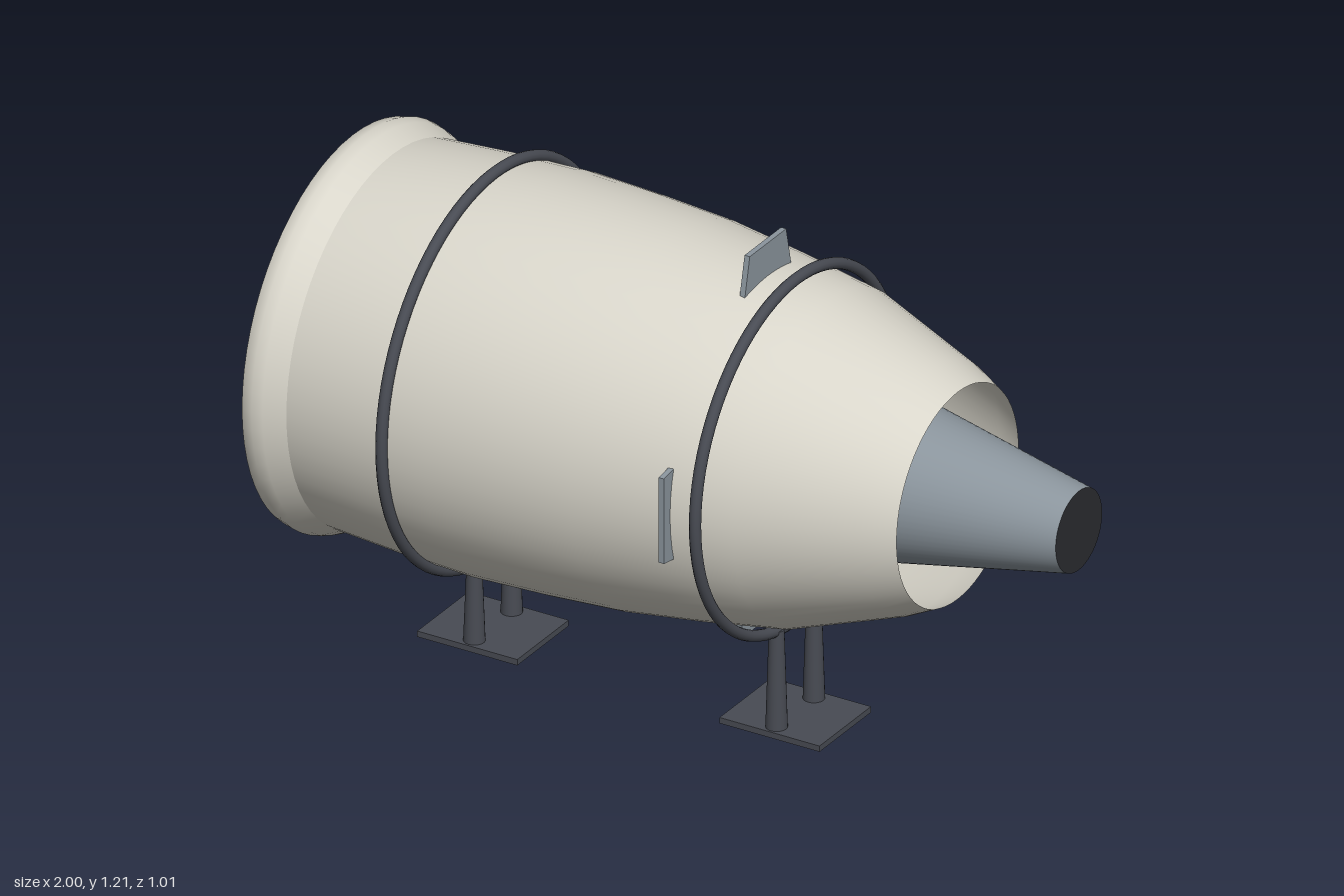
import * as THREE from 'three';

const AXIS_Y = 0.695; // height of the engine centreline
const mat = (color, side = THREE.FrontSide) => new THREE.MeshStandardMaterial({ color, side });

export function createModel() {
  const model = new THREE.Group();
  model.name = 'turbofanEngine';
  const engine = new THREE.Group();
  engine.name = 'engine';
  engine.position.y = AXIS_Y;
  model.add(engine);

  const shellMat = mat(0xd8d5ca, THREE.DoubleSide);
  const steel = mat(0x8b959d);
  const bladeMat = mat(0xa9afb8, THREE.DoubleSide);
  const frameMat = mat(0x484b53);
  const darkMat = mat(0x2b2c30);

  const add = (parent, name, geometry, material) => {
    const mesh = new THREE.Mesh(geometry, material);
    mesh.name = name;
    parent.add(mesh);
    return mesh;
  };
  // Turned shape around the x axis from [x, radius] pairs
  const turned = (pairs) => new THREE.LatheGeometry(
    pairs.map(([x, r]) => new THREE.Vector2(r, x)), 64).rotateZ(-Math.PI / 2);

  // Cowling, open at both ends
  add(engine, 'cowling', turned([[-0.92, 0.455], [-0.84, 0.465], [-0.66, 0.477], [-0.46, 0.484],
    [-0.27, 0.477], [-0.08, 0.465], [0.12, 0.438], [0.32, 0.405], [0.6, 0.305], [0.675, 0.268]]), shellMat);

  // Rounded intake lip
  add(engine, 'intakeLip', turned([[-0.88, 0.435], [-0.925, 0.44], [-0.947, 0.458], [-0.952, 0.475],
    [-0.945, 0.488], [-0.915, 0.495], [-0.89, 0.488], [-0.84, 0.465]]), shellMat);

  // Core, exhaust cone and its dark end
  add(engine, 'core', turned([[-0.82, 0], [-0.82, 0.225], [-0.82, 0.225], [-0.7, 0.235],
    [0.3, 0.238]]), steel);
  add(engine, 'exhaustCone', turned([[0.3, 0.238], [1, 0.102]]), steel);
  add(engine, 'exhaustEnd', new THREE.CircleGeometry(0.102, 64).rotateY(Math.PI / 2).translate(1, 0, 0), darkMat);

  // Spinner
  add(engine, 'spinner', new THREE.ConeGeometry(0.2, 0.18, 48).rotateZ(Math.PI / 2).translate(-0.91, 0, 0), darkMat);

  // Twisted fan blades
  const blade = new THREE.BoxGeometry(0.085, 0.235, 0.01, 2, 8, 1);
  const p = blade.attributes.position;
  for (let i = 0; i < p.count; i++) {
    const t = p.getY(i) / 0.235 + 0.5;
    const a = 0.35 + 0.5 * t;
    const x = p.getX(i), z = p.getZ(i);
    p.setXYZ(i, x * Math.cos(a) - z * Math.sin(a), 0.205 + t * 0.235, x * Math.sin(a) + z * Math.cos(a));
  }
  blade.computeVertexNormals();
  const fan = new THREE.Group();
  fan.name = 'fan';
  fan.position.x = -0.76;
  engine.add(fan);
  const BLADES = 22;
  for (let i = 0; i < BLADES; i++) {
    add(fan, 'fanBlade', blade, bladeMat).rotation.x = (i / BLADES) * Math.PI * 2;
  }

  // Tapered struts that pass through the cowling; the top one is longest
  for (let i = 0; i < 4; i++) {
    const [outer, half] = i === 0 ? [0.515, 0.08] : [0.457, 0.11];
    const shape = new THREE.Shape([
      new THREE.Vector2(-0.15, 0.2), new THREE.Vector2(0.15, 0.2),
      new THREE.Vector2(half, outer), new THREE.Vector2(-half, outer)]);
    const strut = new THREE.ExtrudeGeometry(shape, { depth: 0.014, bevelEnabled: false })
      .rotateY(Math.PI / 2).translate(0.153, 0, 0);
    add(engine, i === 0 ? 'topStrut' : 'strut', strut, steel).rotation.x = i * Math.PI / 2;
  }

  // Mounting hoops, each on a two-legged stand
  for (const [name, x, radius] of [['front', -0.57, 0.49], ['rear', 0.24, 0.44]]) {
    const hoop = new THREE.TorusGeometry(radius, 0.014, 12, 80).rotateY(Math.PI / 2);
    add(engine, name + 'Hoop', hoop, frameMat).position.x = x;

    const stand = new THREE.Group();
    stand.name = name + 'Stand';
    stand.position.x = x;
    model.add(stand);
    add(stand, 'footPlate', new THREE.BoxGeometry(0.268, 0.015, 0.226), frameMat).position.y = 0.0075;
    const top = AXIS_Y - Math.sqrt(radius * radius - 0.08 * 0.08) + 0.005;
    for (const side of [-1, 1]) {
      const leg = new THREE.CylinderGeometry(0.018, 0.026, top - 0.01, 20);
      add(stand, 'leg', leg, frameMat).position.set(0, (top + 0.01) / 2, side * 0.082);
    }
  }
  return model;
}
